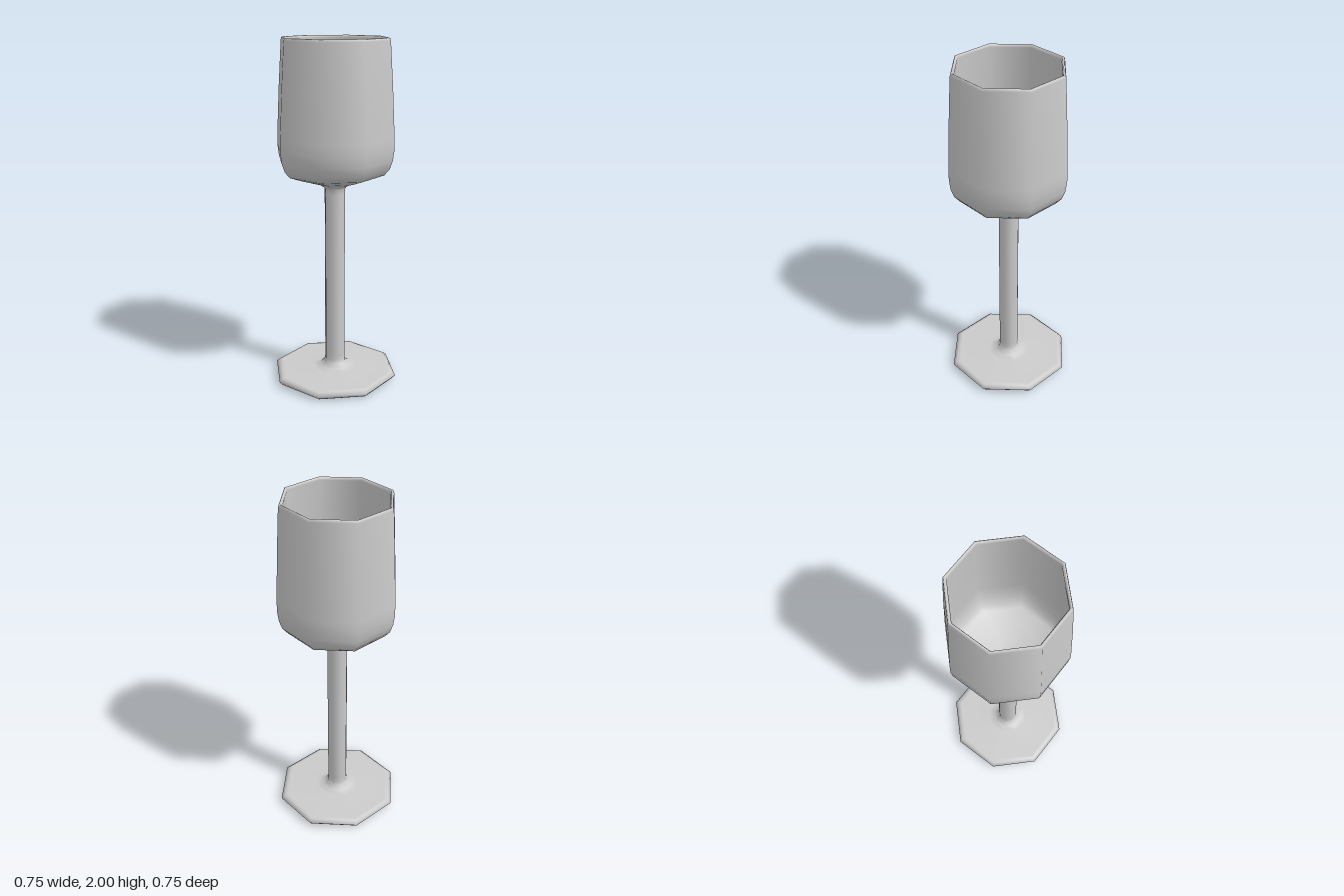
import * as THREE from 'three';

const SIDES = 8;

// Revolves a [radius, height] profile into an eight-sided, smooth-shaded part
function lathePart(name, profile, material) {
  const points = profile.map(([r, y]) => new THREE.Vector2(r, y));
  const mesh = new THREE.Mesh(new THREE.LatheGeometry(points, SIDES), material);
  mesh.name = name;
  return mesh;
}

export function createModel() {
  const group = new THREE.Group();
  group.name = 'wineGlass';
  const glass = new THREE.MeshStandardMaterial({ color: 0xcccccc });

  // Flat underside, bevelled edge and a top that flares up into the stem
  const foot = lathePart('foot', [
    [0, 0.005], [0.3, 0.003], [0.34, 0], [0.355, 0.01], [0.373, 0.03],
    [0.352, 0.048], [0.33, 0.05], [0.13, 0.053], [0.09, 0.065], [0.066, 0.085], [0.06, 0.11], [0.06, 0.14],
  ], glass);

  const stem = lathePart('stem', [[0.06, 0.14], [0.06, 1.13]], glass);

  // Outer wall up to the rounded rim, then down the inner wall to the floor
  const bowl = lathePart('bowl', [
    [0.06, 1.13], [0.06, 1.16], [0.07, 1.172], [0.095, 1.188], [0.2, 1.22], [0.285, 1.25],
    [0.315, 1.285], [0.333, 1.335], [0.341, 1.4], [0.34, 1.46], [0.326, 1.73],
    [0.309, 1.985], [0.305, 1.997], [0.3, 2], [0.294, 1.997], [0.289, 1.985],
    [0.306, 1.73], [0.32, 1.46], [0.319, 1.4], [0.312, 1.345], [0.296, 1.3],
    [0.27, 1.27], [0.19, 1.24], [0.09, 1.21], [0, 1.2],
  ], glass);

  group.add(foot, stem, bowl);
  return group;
}
